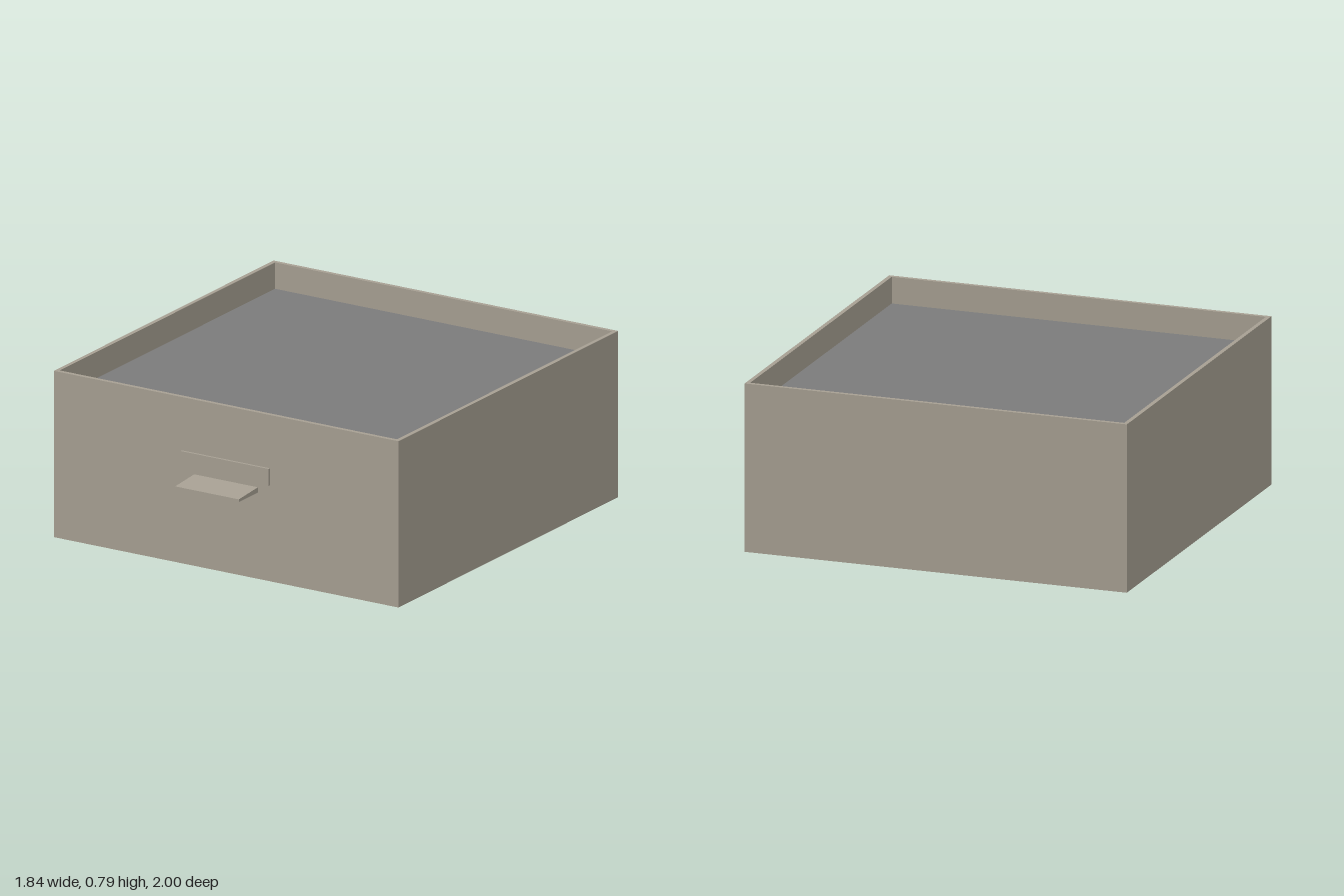
import * as THREE from 'three';

export function createModel() {
  const model = new THREE.Group();
  const casing = new THREE.MeshStandardMaterial({ color: 0xa69f92 });
  casing.name = 'warm grey casing';
  const panel = new THREE.MeshStandardMaterial({ color: 0x7b7b7b });
  panel.name = 'grey panel';

  const add = (name, geometry, material, x, y, z) => {
    const mesh = new THREE.Mesh(geometry, material);
    mesh.name = name;
    mesh.position.set(x, y, z);
    model.add(mesh);
    return mesh;
  };

  // Four walls: one hollow rectangle extruded upwards, open above and below
  const halfWidth = 0.92, halfDepth = 0.92, wall = 0.02, height = 0.79, centreZ = -0.08;
  const rectangle = (target, w, d) => {
    target.moveTo(-w, -d);
    target.lineTo(w, -d);
    target.lineTo(w, d);
    target.lineTo(-w, d);
    target.closePath();
    return target;
  };
  const outline = rectangle(new THREE.Shape(), halfWidth, halfDepth);
  outline.holes.push(rectangle(new THREE.Path(), halfWidth - wall, halfDepth - wall));
  const walls = new THREE.ExtrudeGeometry(outline, { depth: height, bevelEnabled: false });
  walls.rotateX(-Math.PI / 2);
  add('walls', walls, casing, 0, 0, centreZ);

  // Thin floor set below the rim
  add('floor', new THREE.BoxGeometry(2 * (halfWidth - wall), 0.006, 2 * (halfDepth - wall)),
    panel, 0, 0.662, centreZ);

  // Label plate on the front
  add('labelPlate', new THREE.BoxGeometry(0.47, 0.08, 0.012), casing, 0, 0.497, 0.846);

  // Pull tab: tapered side profile (z, y) passing through the front wall
  const profile = new THREE.Shape([
    [0.812, 0.41], [1, 0.41], [1, 0.423], [0.84, 0.435], [0.812, 0.435],
  ].map(([z, y]) => new THREE.Vector2(z, y)));
  const pull = new THREE.ExtrudeGeometry(profile, { depth: 0.34, bevelEnabled: false });
  pull.translate(0, 0, -0.17);
  pull.rotateY(-Math.PI / 2);
  add('pullTab', pull, casing, 0, 0, 0);

  return model;
}
